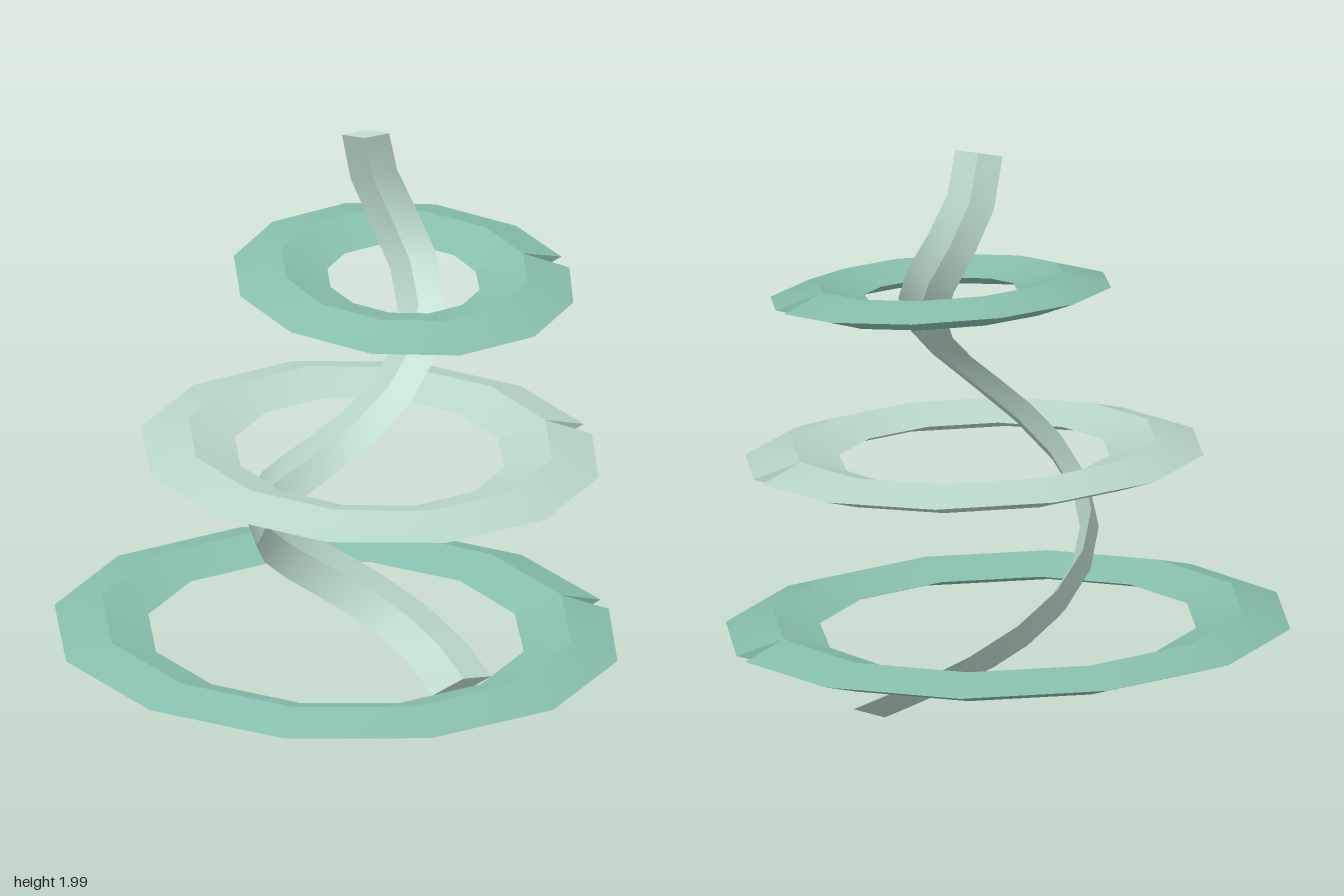
import * as THREE from 'three';
import { toCreasedNormals } from 'three/addons/utils/BufferGeometryUtils.js';

// Sweeps a capped diamond section (half sizes a, b) along a curve, shrinking it towards the end
function sweepDiamond(curve, steps, a, b, endScale = 1) {
  const frames = curve.computeFrenetFrames(steps, false);
  const corners = [[a, 0], [0, b], [-a, 0], [0, -b]];
  const positions = [], index = [];
  for (let i = 0; i <= steps; i++) {
    const centre = curve.getPointAt(i / steps);
    const s = 1 + (endScale - 1) * i / steps;
    for (const [u, v] of corners) {
      const p = centre.clone()
        .addScaledVector(frames.normals[i], u * s)
        .addScaledVector(frames.binormals[i], v * s);
      positions.push(p.x, p.y, p.z);
    }
  }
  for (let i = 0; i < steps; i++) {
    for (let j = 0; j < 4; j++) {
      const k = (j + 1) % 4, p = i * 4, q = p + 4;
      index.push(p + j, p + k, q + j, p + k, q + k, q + j);
    }
  }
  const e = steps * 4;
  index.push(0, 2, 1, 0, 3, 2, e, e + 1, e + 2, e, e + 2, e + 3);
  const geometry = new THREE.BufferGeometry();
  geometry.setAttribute('position', new THREE.Float32BufferAttribute(positions, 3));
  geometry.setIndex(index);
  return toCreasedNormals(geometry, 0.45);
}

// Open twelve-sided loop whose ends meet in a notch on +x
function ringGeometry(radius) {
  const points = [];
  for (let i = 0; i <= 12; i++) {
    const t = i / 12 * Math.PI * 2;
    points.push(new THREE.Vector3(Math.cos(t) * radius, 0, -Math.sin(t) * radius));
  }
  return sweepDiamond(new THREE.CatmullRomCurve3(points), 12, 0.05, 0.16);
}

// Rising helix that narrows and drifts towards +x
function spiralGeometry() {
  const points = [], y0 = 0.033, y1 = 1.985, n = 18;
  for (let i = 0; i <= n; i++) {
    const y = y0 + (y1 - y0) * i / n;
    const t = (y - y0) / 0.37 * Math.PI / 2;
    const r = 0.45 - 0.19 * y;
    points.push(new THREE.Vector3(0.08 * y + r * Math.cos(t), y, -r * Math.sin(t)));
  }
  return sweepDiamond(new THREE.CatmullRomCurve3(points), n, 0.118, 0.036, 0.68);
}

export function createModel() {
  const model = new THREE.Group();
  const teal = new THREE.MeshStandardMaterial({ color: 0x86bdab });
  teal.name = 'teal';
  const paleGreen = new THREE.MeshStandardMaterial({ color: 0xb8d5c7 });
  paleGreen.name = 'pale green';

  // Three tilted rings, shrinking upwards
  const rings = [
    ['lowerRing', 0.8, 0, 0.267, 0.092, teal],
    ['middleRing', 0.62, 0.12, 0.889, 0.116, paleGreen],
    ['upperRing', 0.42, 0.24, 1.483, 0.172, teal],
  ];
  for (const [name, radius, x, y, tilt, material] of rings) {
    const ring = new THREE.Mesh(ringGeometry(radius), material);
    ring.name = name;
    ring.position.set(x, y, 0);
    ring.rotation.x = tilt;
    model.add(ring);
  }

  // Ribbon winding up through the rings
  const spiral = new THREE.Mesh(spiralGeometry(), paleGreen);
  spiral.name = 'spiralRibbon';
  model.add(spiral);
  return model;
}
